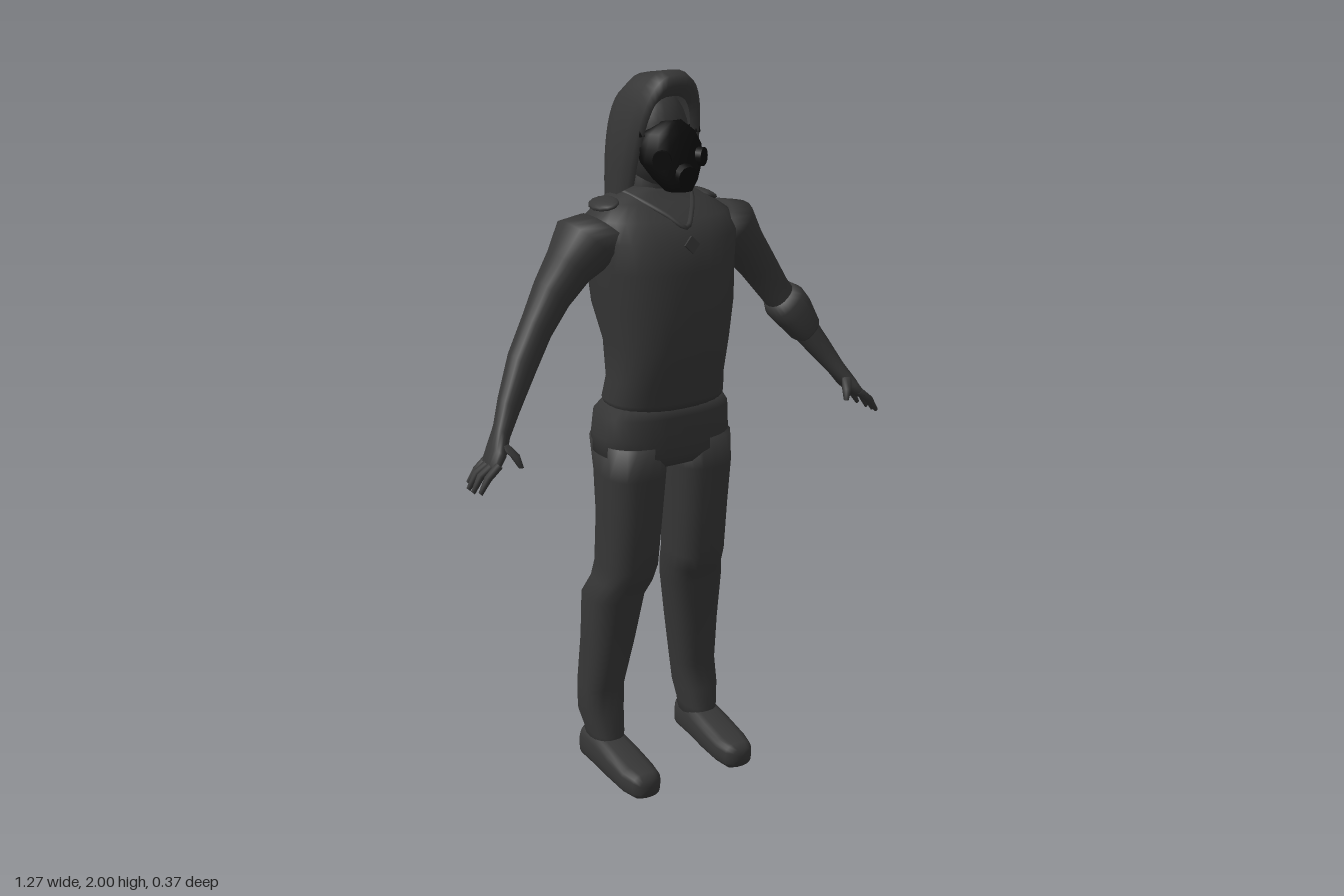
import * as THREE from 'three';

const cloth = new THREE.MeshStandardMaterial({ color: 0x363636, side: THREE.DoubleSide });
cloth.name = 'charcoal cloth';
const rubber = new THREE.MeshStandardMaterial({ color: 0x0d0d0d });
rubber.name = 'black rubber';

const X = [1, 0, 0], Y = [0, 1, 0], Z = [0, 0, 1], ARM = [0.72, 0.69, 0];

// Closed skin through rings [x, y, z, a, b]; a and b are half sizes along u and v.
function loft(rings, { u = X, v = Z, n = 20, power = 2.2, side = 1 } = {}) {
  const pos = [], index = [];
  for (const [x, y, z, a, b] of rings) {
    for (let i = 0; i < n; i++) {
      const t = (i / n) * Math.PI * 2, c = Math.cos(t), s = Math.sin(t);
      const p = a * Math.sign(c) * Math.abs(c) ** (2 / power);
      const q = b * Math.sign(s) * Math.abs(s) ** (2 / power);
      pos.push(side * (x + u[0] * p + v[0] * q), y + u[1] * p + v[1] * q, z + u[2] * p + v[2] * q);
    }
  }
  const first = rings[0], last = rings[rings.length - 1], c0 = pos.length / 3;
  pos.push(side * first[0], first[1], first[2], side * last[0], last[1], last[2]);
  for (let r = 0; r < rings.length - 1; r++) {
    for (let i = 0; i < n; i++) {
      const j = (i + 1) % n, a = r * n + i, b = r * n + j;
      index.push(a, a + n, b, b, a + n, b + n);
    }
  }
  const end = (rings.length - 1) * n;
  for (let i = 0; i < n; i++) {
    const j = (i + 1) % n;
    index.push(c0, i, j, c0 + 1, end + j, end + i);
  }
  // Turn the faces outward whatever the ring direction or mirroring
  const P = (k) => new THREE.Vector3().fromArray(pos, k * 3);
  const origin = P(c0);
  let volume = 0;
  for (let k = 0; k < index.length; k += 3) {
    const [A, B, C] = [0, 1, 2].map((d) => P(index[k + d]).sub(origin));
    volume += A.dot(B.cross(C));
  }
  if (volume < 0) index.reverse();
  return skin(pos, index);
}

function skin(pos, index) {
  const g = new THREE.BufferGeometry();
  g.setAttribute('position', new THREE.Float32BufferAttribute(pos, 3));
  g.setIndex(index);
  g.computeVertexNormals();
  return g;
}

// Hood: a row of arches from the brim to the back of the head
function hoodGeometry() {
  const arches = [ // half width, top y, top z, base y, base z
    [0.08, 1.935, 0.045, 1.72, -0.03], [0.088, 1.965, 0.078, 1.71, 0.0],
    [0.1, 1.99, 0.07, 1.7, -0.015], [0.114, 2.0, 0.035, 1.685, -0.04],
    [0.115, 1.985, -0.07, 1.665, -0.09], [0.102, 1.945, -0.14, 1.65, -0.13],
    [0.07, 1.87, -0.168, 1.643, -0.15], [0, 1.76, -0.172, 1.64, -0.158]];
  const n = 24, pos = [], index = [];
  arches.forEach(([w, ty, tz, by, bz], r) => {
    for (let i = 0; i <= n; i++) {
      const t = (i / n) * Math.PI, c = Math.cos(t), h = Math.max(0, Math.sin(t)) ** 0.8;
      pos.push(w * Math.sign(c) * Math.abs(c) ** 0.7, by + (ty - by) * h, bz + (tz - bz) * h);
      if (r && i) {
        const d = r * (n + 1) + i, a = d - n - 2;
        index.push(a, a + 1, d - 1, d - 1, a + 1, d);
      }
    }
  });
  return skin(pos, index);
}

export function createModel() {
  const model = new THREE.Group();
  const add = (name, geometry, material = cloth, parent = model) => {
    const mesh = new THREE.Mesh(geometry, material);
    mesh.name = name;
    parent.add(mesh);
    return mesh;
  };

  // Shirt, hips and neck
  add('shirt', loft([
    [0, 1.12, -0.002, 0.167, 0.109], [0, 1.14, -0.002, 0.172, 0.115], [0, 1.2, 0.01, 0.164, 0.116],
    [0, 1.3, 0.013, 0.167, 0.142], [0, 1.4, -0.005, 0.187, 0.16], [0, 1.5, -0.016, 0.193, 0.168],
    [0, 1.58, -0.017, 0.205, 0.155], [0, 1.63, -0.03, 0.197, 0.125], [0, 1.665, -0.05, 0.15, 0.09],
    [0, 1.69, -0.06, 0.1, 0.07], [0, 1.7, -0.06, 0.07, 0.06]], { n: 32, power: 2.5 }));
  add('hips', loft([
    [0, 1.135, -0.003, 0.165, 0.108], [0, 1.1, -0.013, 0.19, 0.124], [0, 1.04, -0.017, 0.195, 0.127],
    [0, 0.99, -0.015, 0.196, 0.123], [0, 0.955, -0.006, 0.15, 0.09], [0, 0.94, -0.005, 0.06, 0.05]],
  { n: 32, power: 2.6 }));
  add('neck', loft([[0, 1.63, -0.06, 0.08, 0.075], [0, 1.7, -0.06, 0.065, 0.065], [0, 1.8, -0.05, 0.06, 0.06]]));

  // V-shaped collar with a small pendant
  const half = [[0.1, 1.692, -0.05], [0.08, 1.675, 0.01], [0.038, 1.642, 0.078], [0, 1.612, 0.113]];
  const points = [...half, ...half.slice(0, 3).reverse().map(([x, y, z]) => [-x, y, z])];
  const path = new THREE.CatmullRomCurve3(points.map((p) => new THREE.Vector3(...p)));
  add('collar', new THREE.TubeGeometry(path, 32, 0.007, 6));
  const pendant = add('pendant', new THREE.BoxGeometry(0.032, 0.032, 0.008));
  pendant.position.set(0, 1.572, 0.141);
  pendant.rotation.set(-0.2, 0, Math.PI / 4);

  // Head, hood and breathing mask
  add('hood', hoodGeometry());
  add('head', new THREE.SphereGeometry(1, 24, 16).scale(0.084, 0.13, 0.09).translate(0, 1.82, -0.035));
  add('mask', loft([
    [0, 1.702, 0.075, 0.035, 0.035], [0, 1.73, 0.06, 0.058, 0.055], [0, 1.77, 0.04, 0.082, 0.066],
    [0, 1.81, 0.025, 0.088, 0.072], [0, 1.845, 0.02, 0.072, 0.062], [0, 1.875, 0.025, 0.03, 0.04]],
  { n: 16 }), rubber);
  const valve = add('mask valve', new THREE.CylinderGeometry(0.028, 0.034, 0.05, 12), rubber);
  valve.position.set(0, 1.745, 0.097);
  valve.rotation.x = Math.PI / 2 + 0.15;

  for (const side of [1, -1]) {
    const label = side > 0 ? 'left' : 'right';

    const filter = add(`${label} mask filter`, new THREE.CylinderGeometry(0.024, 0.026, 0.04, 12), rubber);
    filter.position.set(side * 0.052, 1.785, 0.08);
    filter.rotation.set(Math.PI / 2, 0, -side * 0.6);
    const strap = add(`${label} mask strap`, new THREE.BoxGeometry(0.012, 0.025, 0.07), rubber);
    strap.position.set(side * 0.084, 1.84, 0.0);
    strap.rotation.x = -0.3;

    // Trouser leg and shoe
    add(`${label} leg`, loft([
      [0.103, 1.02, -0.017, 0.09, 0.122], [0.106, 0.93, -0.003, 0.09, 0.104],
      [0.107, 0.8, -0.007, 0.083, 0.097], [0.11, 0.65, -0.02, 0.08, 0.094],
      [0.114, 0.6, -0.037, 0.081, 0.088], [0.13, 0.545, -0.062, 0.085, 0.084],
      [0.141, 0.4, -0.077, 0.072, 0.078], [0.157, 0.25, -0.094, 0.064, 0.065],
      [0.162, 0.17, -0.086, 0.062, 0.067], [0.16, 0.11, -0.07, 0.049, 0.07],
      [0.16, 0.06, -0.07, 0.046, 0.065]], { power: 2.5, side }));
    add(`${label} shoe`, loft([
      [0.165, 0.05, -0.138, 0.04, 0.046], [0.165, 0.053, -0.12, 0.052, 0.053],
      [0.163, 0.055, -0.04, 0.054, 0.055], [0.16, 0.048, 0.04, 0.057, 0.048],
      [0.158, 0.041, 0.12, 0.056, 0.041], [0.156, 0.04, 0.165, 0.046, 0.039],
      [0.156, 0.04, 0.185, 0.032, 0.028]], { v: Y, power: 3, side }));

    // Arm down to the palm
    add(`${label} arm`, loft([
      [0.15, 1.59, -0.03, 0.075, 0.1], [0.213, 1.573, -0.032, 0.083, 0.1],
      [0.268, 1.515, -0.03, 0.061, 0.072], [0.32, 1.45, -0.026, 0.052, 0.057],
      [0.372, 1.373, -0.014, 0.044, 0.046], [0.43, 1.29, 0.012, 0.042, 0.043],
      [0.49, 1.2, 0.052, 0.032, 0.035], [0.525, 1.145, 0.08, 0.024, 0.03],
      [0.55, 1.105, 0.1, 0.02, 0.044], [0.575, 1.072, 0.112, 0.013, 0.044]], { u: ARM, side }));

    // Fingers and thumb
    for (let i = 0; i < 4; i++) {
      const z = 0.078 + i * 0.022, reach = [0, 0.012, 0.012, 0.004][i];
      add(`${label} finger`, loft([
        [0.565, 1.083, z, 0.011, 0.011], [0.595 + reach, 1.055, z + (i - 1.5) * 0.003, 0.01, 0.01],
        [0.618 + reach, 1.022 - reach / 2, z + (i - 1.5) * 0.005, 0.006, 0.006]], { u: ARM, n: 8, side }));
    }
    add(`${label} thumb`, loft([
      [0.54, 1.125, 0.115, 0.014, 0.014], [0.52, 1.1, 0.142, 0.013, 0.013],
      [0.51, 1.07, 0.155, 0.007, 0.007]], { n: 8, side }));

    // Small raised pad on the shoulder seam
    const pad = add(`${label} shoulder pad`, new THREE.SphereGeometry(1, 12, 8).scale(0.035, 0.012, 0.06));
    pad.position.set(side * 0.15, 1.662, -0.05);
    pad.rotation.z = -side * 0.35;
  }

  // Flared cuff on the left forearm only
  add('forearm cuff', loft([
    [0.385, 1.358, -0.01, 0.046, 0.048], [0.4, 1.338, -0.004, 0.058, 0.058],
    [0.42, 1.312, 0.006, 0.056, 0.057], [0.452, 1.258, 0.026, 0.044, 0.047],
    [0.456, 1.252, 0.028, 0.038, 0.04]], { u: ARM, power: 2.6 }));

  return model;
}
